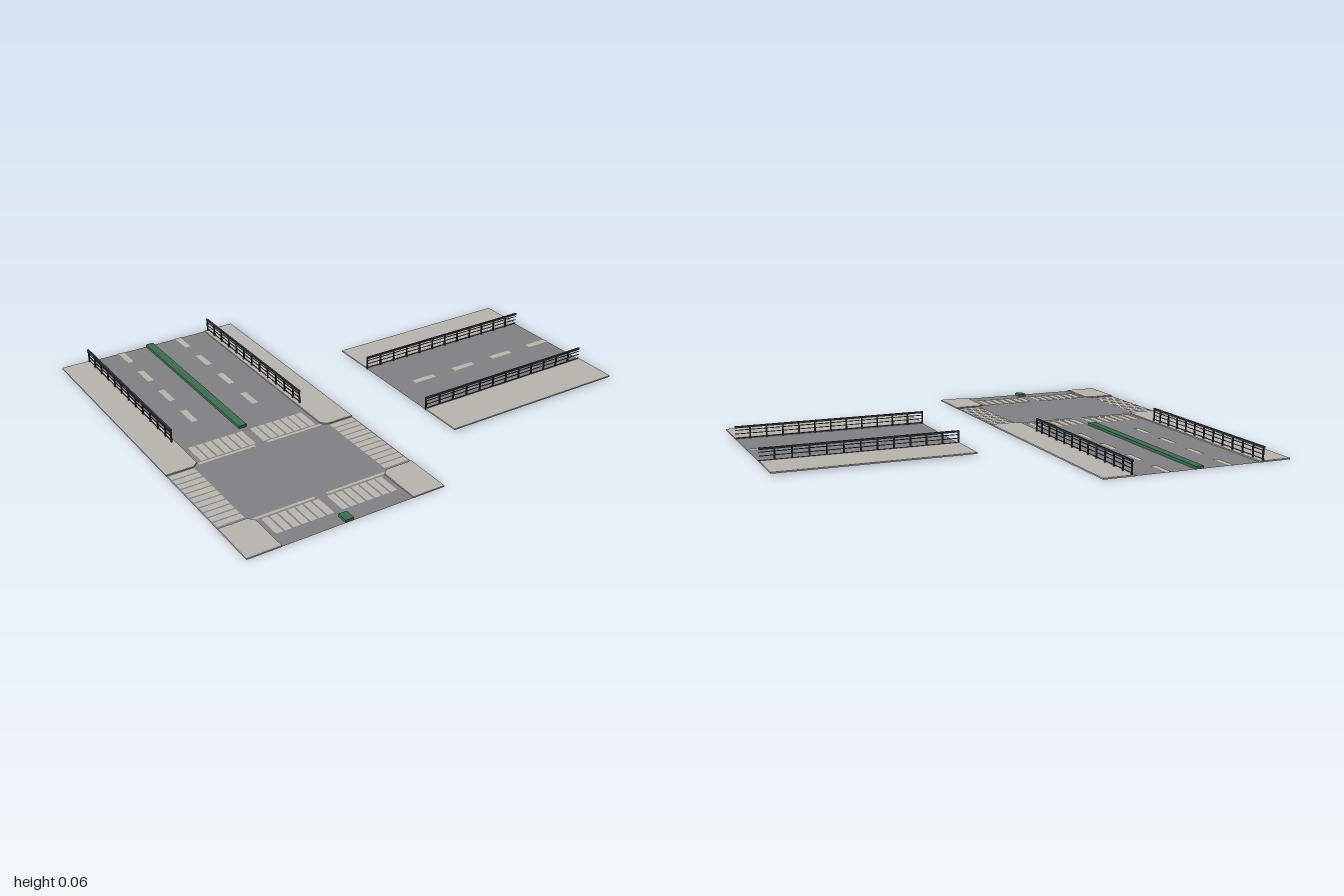
import * as THREE from 'three';

const mat = (name, color, side = THREE.FrontSide) => {
  const m = new THREE.MeshStandardMaterial({ color, side });
  m.name = name;
  return m;
};

export function createModel() {
  const asphalt = mat('asphalt', 0x828284, THREE.DoubleSide);
  const paving = mat('paving', 0xb9b5b0);
  const paint = mat('roadPaint', 0xbab6b0, THREE.DoubleSide);
  const green = mat('hedgeGreen', 0x3d6f52);
  const metal = mat('railingMetal', 0x34383b);

  const model = new THREE.Group();
  model.name = 'streetPieces';

  const add = (parent, name, geometry, material) => {
    const m = new THREE.Mesh(geometry, material);
    m.name = name;
    parent.add(m);
    return m;
  };
  const group = (parent, name) => {
    const g = new THREE.Group();
    g.name = name;
    parent.add(g);
    return g;
  };
  const box = (parent, name, material, x0, x1, y0, y1, z0, z1) =>
    add(parent, name, new THREE.BoxGeometry(x1 - x0, y1 - y0, z1 - z0), material)
      .position.set((x0 + x1) / 2, (y0 + y1) / 2, (z0 + z1) / 2);
  // Flat rectangle lying on the ground
  const flat = (parent, name, material, x0, x1, y, z0, z1) =>
    add(parent, name, new THREE.PlaneGeometry(x1 - x0, z1 - z0).rotateX(-Math.PI / 2), material)
      .position.set((x0 + x1) / 2, y, (z0 + z1) / 2);
  // Ground outline given as [x, z] points
  const outline = (pts) => new THREE.Shape(pts.map(([x, z]) => new THREE.Vector2(x, -z)));

  // Railing along +x from 0 to length
  const railing = (parent, name, length, posts) => {
    const g = group(parent, name);
    box(g, 'topRail', metal, 0, length, 0.057, 0.065, -0.004, 0.004);
    for (const y of [0.047, 0.031, 0.013]) {
      box(g, 'rail', metal, 0, length, y - 0.0015, y + 0.0015, -0.0015, 0.0015);
    }
    for (const p of posts) box(g, 'post', metal, p - 0.003, p + 0.003, 0.004, 0.06, -0.003, 0.003);
    return g;
  };

  // ---- Wide road with junction, built around its own centre line ----
  const main = group(model, 'junctionRoad');
  main.position.x = -0.5725;
  const W = 0.4275, IN = 0.285, CUT = 0.308, BACK = -0.86, FRONT = 0.855, Z0 = 0.212, Z1 = 0.64;

  const half = [[IN, BACK], [IN, 0.19], [CUT, Z0], [W, Z0], [W, Z1], [CUT, Z1], [IN, Z1 + 0.022], [IN, FRONT]];
  const mirrored = half.map(([x, z]) => [-x, z]).reverse();
  add(main, 'roadSurface', new THREE.ShapeGeometry(outline([...half, ...mirrored])).rotateX(-Math.PI / 2), asphalt)
    .position.y = 0.001;

  const rearWalk = [[IN, BACK], [W, BACK], [W, Z0], [CUT, Z0], [IN, 0.19]];
  const frontWalk = [[IN, FRONT], [W, FRONT], [W, Z1], [CUT, Z1], [IN, Z1 + 0.022]];
  for (const s of [-1, 1]) {
    for (const [name, pts] of [['rearSidewalk', rearWalk], ['frontSidewalk', frontWalk]]) {
      const geo = new THREE.ExtrudeGeometry(outline(pts.map(([x, z]) => [s * x, z])),
        { depth: 0.006, bevelEnabled: false }).rotateX(-Math.PI / 2);
      add(main, name, geo, paving);
    }
    const span = (a, b) => (s > 0 ? [a, b] : [-b, -a]);

    // Lane dashes
    for (let i = 0; i < 4; i++) {
      const z = BACK + i * 0.214;
      flat(main, 'laneDash', paint, ...span(0.13, 0.157), 0.003, z, z + 0.11);
    }
    // Crossings over the main road, with stop lines
    for (const [a, b] of [[0.07, 0.187], [0.668, 0.778]]) {
      for (let i = 0; i < 7; i++) {
        const x = 0.018 + i * 0.0362;
        flat(main, 'crossingStripe', paint, ...span(x, x + 0.029), 0.003, a, b);
      }
    }
    flat(main, 'stopLine', paint, ...span(0.028, 0.282), 0.003, 0.194, 0.207);
    flat(main, 'stopLine', paint, ...span(0.028, 0.29), 0.003, 0.646, 0.659);
    // Crossing over the side street
    for (let i = 0; i < 11; i++) {
      const z = 0.222 + i * 0.0373;
      flat(main, 'sideCrossingStripe', paint, ...span(0.31, 0.422), 0.003, z, z + 0.03);
    }
    // Railing running along z
    const posts = [0.003, ...Array.from({ length: 11 }, (_, i) => 0.057 + i * 0.0727), 0.853];
    const r = railing(main, 'sidewalkRailing', 0.86, posts);
    r.rotation.y = Math.PI / 2;
    r.position.x = s * 0.3;
  }
  // Central hedge
  box(main, 'hedge', green, -0.018, 0.018, 0.001, 0.013, BACK, 0.045);
  box(main, 'hedgeEnd', green, -0.018, 0.018, 0.001, 0.013, 0.805, FRONT);

  // ---- Short two-lane road ----
  const side = group(model, 'shortRoad');
  const X0 = 0.14, X1 = 1;
  flat(side, 'roadSurface', asphalt, X0, X1, 0.008, -0.11, 0.345);
  box(side, 'rearSidewalk', paving, X0, X1, 0.007, 0.013, -0.31, -0.11);
  box(side, 'frontSidewalk', paving, X0, X1, 0.007, 0.013, 0.345, 0.545);
  for (let i = 0; i < 4; i++) {
    const x = 0.243 + i * 0.2155;
    flat(side, 'laneDash', paint, x, Math.min(x + 0.111, X1), 0.01, 0.102, 0.129);
  }
  for (const z of [-0.105, 0.34]) {
    const posts = [0.003, ...Array.from({ length: 11 }, (_, i) => 0.075 + i * 0.072)];
    railing(side, 'sidewalkRailing', X1 - X0, posts).position.set(X0, 0, z);
  }
  return model;
}
